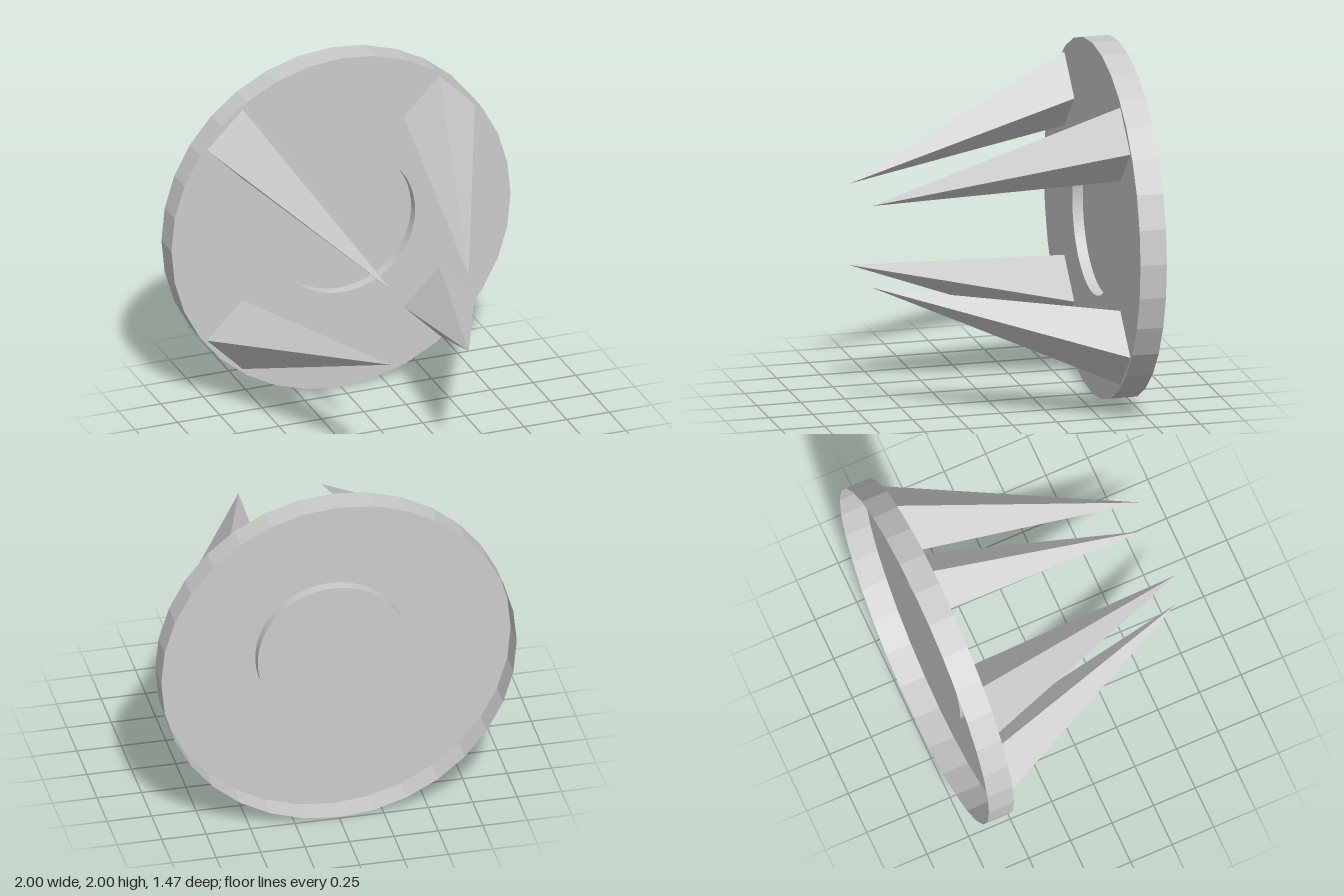
import * as THREE from 'three';

export function createModel() {
  const group = new THREE.Group();
  group.name = 'spikedDisc';
  const material = new THREE.MeshStandardMaterial({
    color: 0xcccccc, flatShading: true, side: THREE.DoubleSide,
  });
  const smooth = new THREE.MeshStandardMaterial({ color: 0xcccccc, side: THREE.DoubleSide });

  const front = -0.59, back = -0.74, centreY = 1;
  const dish = { x: 0.012, radius: 0.425, depth: 0.06, sides: 64 };

  const add = (name, geometry, x, y, z, mat = material) => {
    const mesh = new THREE.Mesh(geometry, mat);
    mesh.name = name;
    mesh.position.set(x, y, z);
    group.add(mesh);
    return mesh;
  };
  const circlePoints = (radius, sides, x = 0) => Array.from({ length: sides }, (_, i) => {
    const a = (i / sides) * Math.PI * 2;
    return new THREE.Vector2(x + radius * Math.cos(a), radius * Math.sin(a));
  });
  // Open tube wall along z, centred on its own origin
  const wall = (radius, depth, sides) =>
    new THREE.CylinderGeometry(radius, radius, depth, sides, 1, true).rotateX(Math.PI / 2);

  // Front plate with a round opening; the shell is open at the back
  const plate = new THREE.Shape(circlePoints(1, 32));
  plate.holes.push(new THREE.Path(circlePoints(dish.radius, dish.sides, dish.x)));
  add('frontPlate', new THREE.ShapeGeometry(plate), 0, centreY, front);
  add('rim', wall(1, front - back, 32), 0, centreY, (front + back) / 2);

  // Shallow round recess in the plate
  add('recessWall', wall(dish.radius, dish.depth, dish.sides),
    dish.x, centreY, front - dish.depth / 2, smooth);
  add('recessFloor', new THREE.CircleGeometry(dish.radius, dish.sides),
    dish.x, centreY, front - dish.depth);

  // Four-sided spikes leaning in towards the axis
  const tip = 0.73, baseOffset = 0.58, lean = 0.232 - baseOffset, height = tip - front;
  for (const sx of [1, -1]) {
    for (const sy of [1, -1]) {
      const spike = new THREE.ConeGeometry(0.21, height, 4, 1, true)
        .rotateX(Math.PI / 2).translate(0, 0, height / 2);
      // Shear so the tip shifts towards the centre
      const k = lean / height;
      spike.applyMatrix4(new THREE.Matrix4().set(
        1, 0, sx * k, 0,
        0, 1, sy * k, 0,
        0, 0, 1, 0,
        0, 0, 0, 1));
      add(`${sy > 0 ? 'upper' : 'lower'}${sx > 0 ? 'Left' : 'Right'}Spike`, spike,
        sx * baseOffset, centreY + sy * baseOffset, front);
    }
  }
  return group;
}
